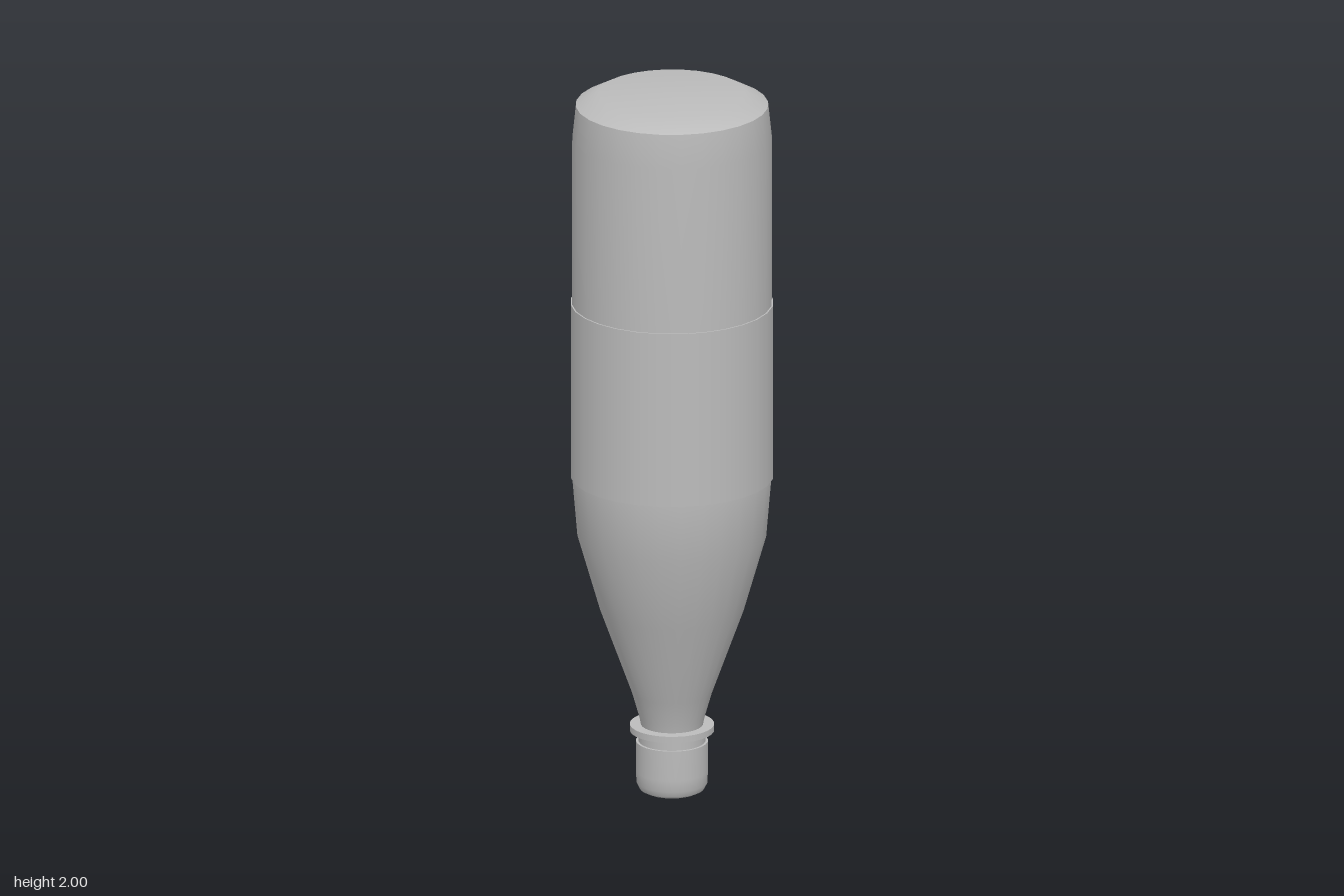
import * as THREE from 'three';

const SIDES = 28;

// Revolves each profile run (listed bottom to top); runs meet at sharp edges
function turned(name, material, runs) {
  const part = new THREE.Group();
  part.name = name;
  runs.forEach((run, i) => {
    const points = run.map(([r, y]) => new THREE.Vector2(r, y));
    const mesh = new THREE.Mesh(new THREE.LatheGeometry(points, SIDES), material);
    mesh.name = `${name}Surface${i + 1}`;
    part.add(mesh);
  });
  return part;
}

export function createModel() {
  const grey = new THREE.MeshStandardMaterial({ color: 0xbbbbbb });
  grey.name = 'plain grey';

  const bottle = new THREE.Group();
  bottle.name = 'upturnedBottle';

  // Screw cap, resting on the ground
  bottle.add(turned('cap', grey, [
    [[0, 0], [0.072, 0.002], [0.088, 0.01]],
    [[0.088, 0.01], [0.097, 0.028], [0.098, 0.06], [0.098, 0.145]],
    [[0.098, 0.145], [0.08, 0.145]],
  ]));

  // Short neck and the collar ring around it
  bottle.add(turned('neck', grey, [[[0.091, 0.14], [0.091, 0.18]]]));
  bottle.add(turned('collar', grey, [
    [[0.08, 0.175], [0.115, 0.175]],
    [[0.115, 0.175], [0.115, 0.193]],
    [[0.115, 0.193], [0.075, 0.193]],
  ]));

  // Flared shoulder and straight body
  bottle.add(turned('body', grey, [
    [[0.083, 0.185], [0.089, 0.215], [0.109, 0.285], [0.196, 0.525],
      [0.258, 0.74], [0.272, 0.905], [0.272, 1.4], [0.272, 1.87], [0.262, 1.966]],
  ]));

  // Label sleeve, slightly proud of the body
  bottle.add(turned('label', grey, [
    [[0.27, 0.905], [0.276, 0.905]],
    [[0.276, 0.905], [0.276, 1.4]],
    [[0.276, 1.4], [0.27, 1.4]],
  ]));

  // Gently domed base, uppermost
  bottle.add(turned('base', grey, [
    [[0.262, 1.966], [0.2, 1.999], [0, 2]],
  ]));

  return bottle;
}
